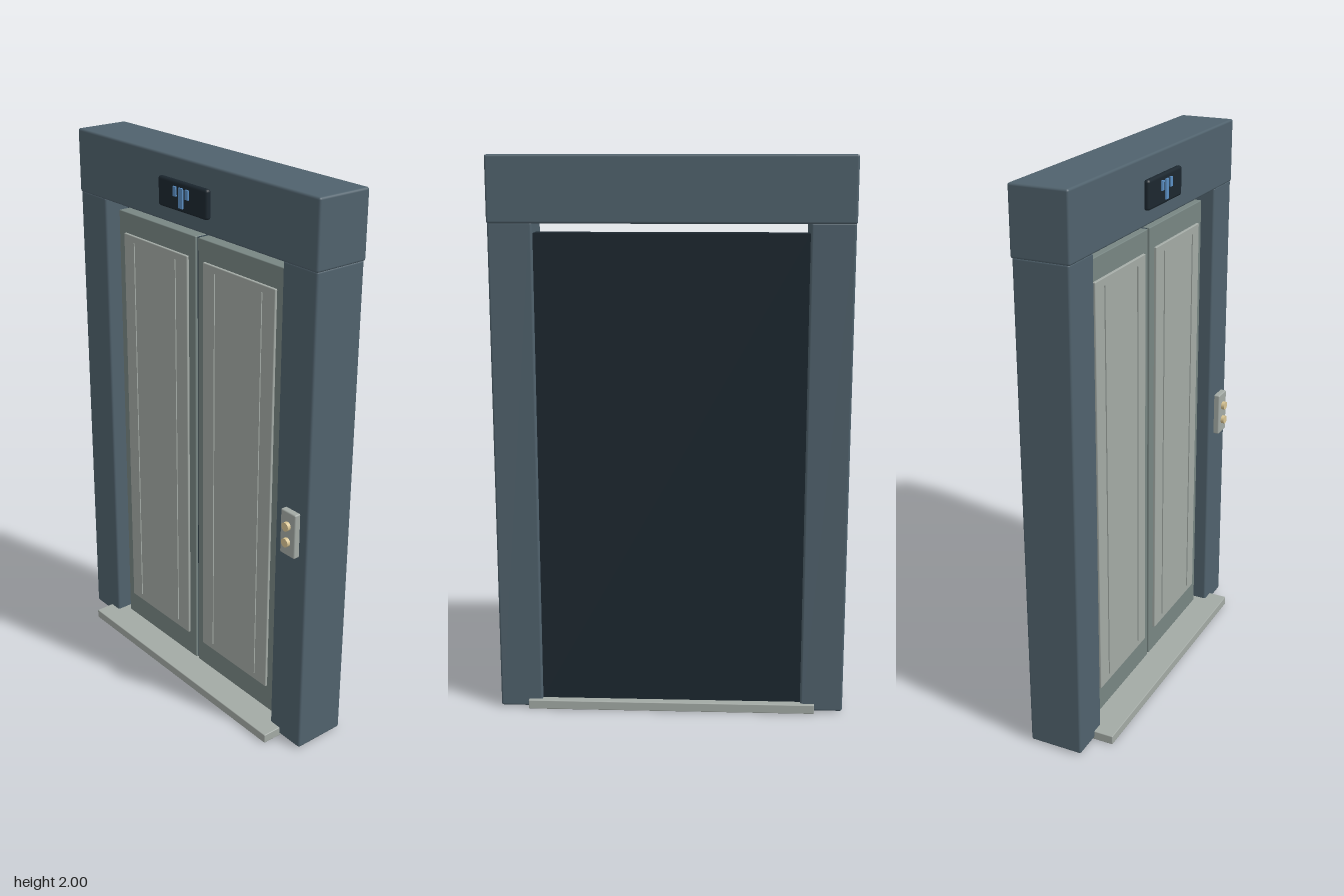
import * as THREE from 'three';
import { RoundedBoxGeometry } from 'three/addons/geometries/RoundedBoxGeometry.js';

const mat = (color) => new THREE.MeshStandardMaterial({ color });

export function createModel() {
  const group = new THREE.Group();
  const slate = mat(0x50626d), dark = mat(0x1c272f), steel = mat(0xa3aaa5);
  const doorGrey = mat(0x788683), seal = mat(0x34444e), blue = mat(0x5b8fc4), brass = mat(0xd8c493);

  const add = (name, geometry, material) => {
    const mesh = new THREE.Mesh(geometry, material);
    mesh.name = name;
    group.add(mesh);
    return mesh;
  };
  // Box given by its limits on each axis; a bevel rounds its edges
  const box = (name, material, [x0, x1], [y0, y1], [z0, z1], bevel = 0) => {
    const size = [x1 - x0, y1 - y0, z1 - z0];
    const geometry = bevel ? new RoundedBoxGeometry(...size, 2, bevel) : new THREE.BoxGeometry(...size);
    const mesh = add(name, geometry, material);
    mesh.position.set((x0 + x1) / 2, (y0 + y1) / 2, (z0 + z1) / 2);
    return mesh;
  };
  // Limits mirrored to the chosen side
  const span = (s, a, b) => (s > 0 ? [a, b] : [-b, -a]);

  // Surround
  box('header', slate, [-0.63, 0.63], [1.77, 2], [-0.133, 0.073], 0.008);
  box('sill', steel, [-0.525, 0.525], [0, 0.034], [-0.142, 0.142], 0.003);
  box('shaftBacking', dark, [-0.476, 0.476], [0.03, 1.737], [-0.112, -0.03]);
  box('centreSeal', seal, [-0.009, 0.009], [0.034, 1.73], [-0.03, 0.02]);

  for (const s of [-1, 1]) {
    box('jamb', slate, span(s, 0.474, 0.628), [0.006, 1.775], [-0.128, 0.07], 0.008);
    // Door leaf with a raised panel and two slim ribs
    box('doorLeaf', doorGrey, span(s, 0.007, 0.447), [0.034, 1.732], [-0.03, 0.03], 0.003);
    box('doorPanel', steel, span(s, 0.043, 0.408), [0.132, 1.656], [0.026, 0.039], 0.003);
    for (const x of [0.107, 0.346]) {
      box('doorRib', steel, span(s, x - 0.002, x + 0.002), [0.16, 1.63], [0.036, 0.043]);
    }
  }

  // Floor display with its indicator bars
  box('display', dark, [-0.13, 0.13], [1.825, 1.927], [0.071, 0.093], 0.01);
  box('indicatorBar', blue, [-0.01, 0.01], [1.84, 1.908], [0.09, 0.099]);
  for (const s of [-1, 1]) {
    box('indicatorBar', blue, span(s, 0.025, 0.041), [1.875, 1.908], [0.09, 0.099]);
  }

  // Call station
  box('callPlate', steel, [0.521, 0.592], [0.775, 0.94], [0.066, 0.092], 0.005);
  for (const y of [0.828, 0.888]) {
    const button = add('callButton', new THREE.CylinderGeometry(0.016, 0.016, 0.018, 20), brass);
    button.rotation.x = Math.PI / 2;
    button.position.set(0.556, y, 0.096);
  }
  return group;
}
